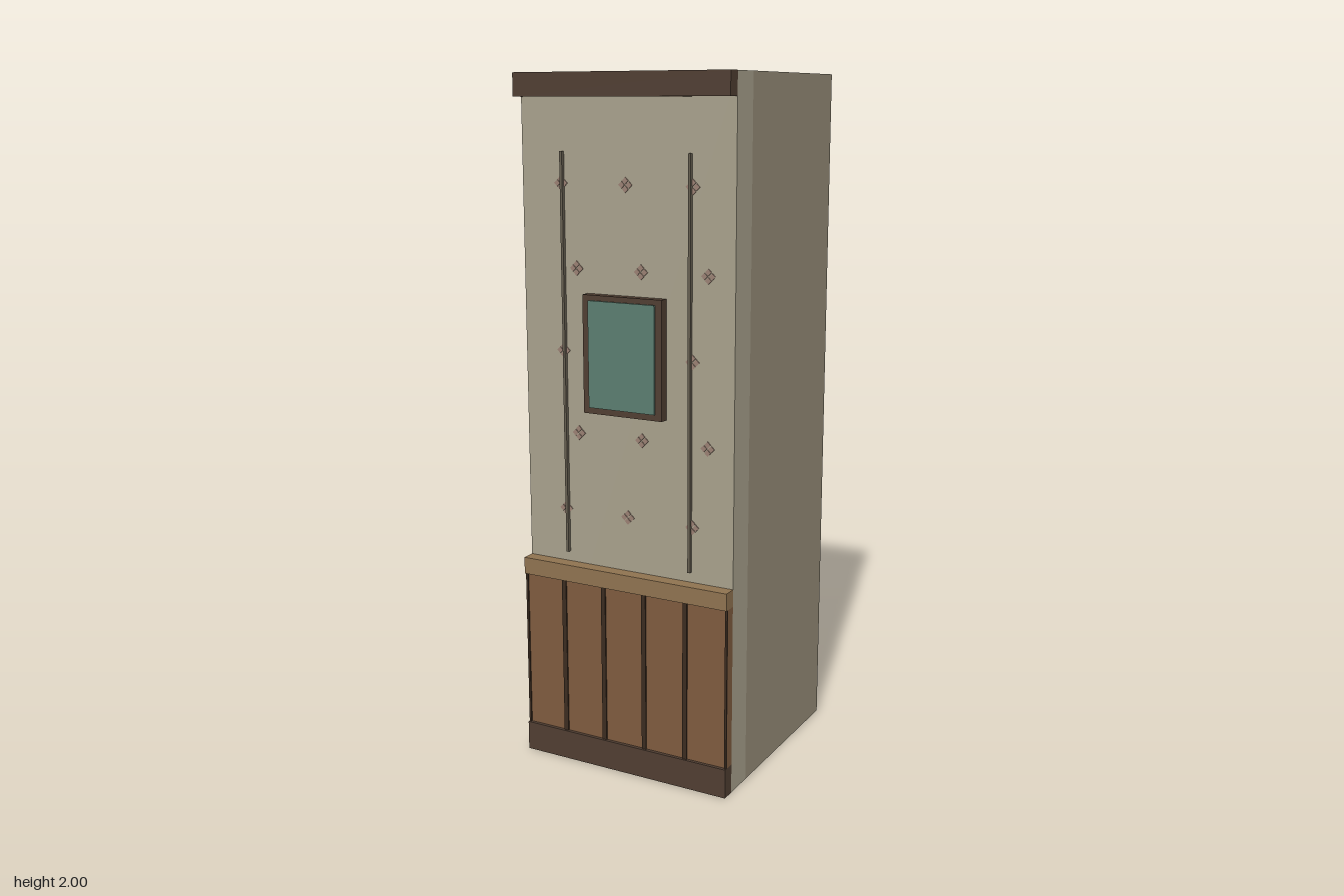
import * as THREE from 'three';

export function createModel() {
  const model = new THREE.Group();
  const mat = (color) => new THREE.MeshStandardMaterial({ color });
  const body = mat(0x968d79), paper = mat(0xa8a18c), dark = mat(0x503e32);
  const wood = mat(0x7e5b3f), railWood = mat(0x8f7350), groove = mat(0x3b2c20);
  const seam = mat(0x655e50), glass = mat(0x5b7d70), print = mat(0x9a8073);

  // Box given by its limits on each axis
  function box(name, material, x0, x1, y0, y1, z0, z1, parent = model) {
    const mesh = new THREE.Mesh(new THREE.BoxGeometry(x1 - x0, y1 - y0, z1 - z0), material);
    mesh.position.set((x0 + x1) / 2, (y0 + y1) / 2, (z0 + z1) / 2);
    mesh.name = name;
    parent.add(mesh);
    return mesh;
  }
  const W = 0.333, FACE = 0.293;

  // Wall block and its papered front layer
  box('wallCore', body, -W, W, 0, 2, -W, 0.2);
  box('wallpaperLayer', paper, -W, W, 0, 2, 0.2, FACE);

  // Horizontal trims
  box('baseboard', dark, -W, W, 0, 0.087, FACE, W);
  box('chairRail', railWood, -W, W, 0.56, 0.61, FACE, W);
  box('crownTrim', dark, -W, W, 1.935, 2, FACE, W);

  // Wainscot boards with dark joint strips between them
  const wainscot = new THREE.Group();
  wainscot.name = 'wainscot';
  model.add(wainscot);
  const step = (2 * W) / 5;
  for (let i = 0; i < 5; i++) {
    const x = -W + i * step;
    box('wainscotBoard', wood, x, x + step, 0.087, 0.56, FACE, 0.323, wainscot);
  }
  for (let i = 0; i <= 5; i++) {
    const x = -W + i * step;
    box('jointStrip', groove, Math.max(x - 0.007, -W), Math.min(x + 0.007, W),
      0.087, 0.56, 0.322, 0.327, wainscot);
  }

  // Vertical wallpaper seams
  for (const x of [-0.2, 0.2]) box('wallpaperSeam', seam, x - 0.004, x + 0.004, 0.64, 1.79, FACE, 0.304);

  // Framed pane
  const picture = new THREE.Group();
  picture.name = 'framedPane';
  model.add(picture);
  box('frame', dark, -0.125, 0.125, 1.067, 1.402, FACE, 0.321, picture);
  box('pane', glass, -0.105, 0.105, 1.085, 1.387, 0.31, 0.327, picture);

  // Printed motifs: four small diamonds around a centre, in staggered rows
  const diamond = new THREE.BoxGeometry(0.0135, 0.0135, 0.003).rotateZ(Math.PI / 4);
  [0.77, 1.0, 1.235, 1.47, 1.703].forEach((y, row) => {
    for (let col = -1; col <= 1; col++) {
      const motif = new THREE.Group();
      motif.name = 'wallpaperMotif';
      motif.position.set(col * 0.206 + (row % 2 ? 0.047 : 0), y, FACE + 0.0015);
      for (let k = 0; k < 4; k++) {
        const petal = new THREE.Mesh(diamond, print);
        petal.name = 'motifPetal';
        petal.position.set(Math.cos(k * Math.PI / 2) * 0.0115, Math.sin(k * Math.PI / 2) * 0.0115, 0);
        motif.add(petal);
      }
      model.add(motif);
    }
  });

  return model;
}
